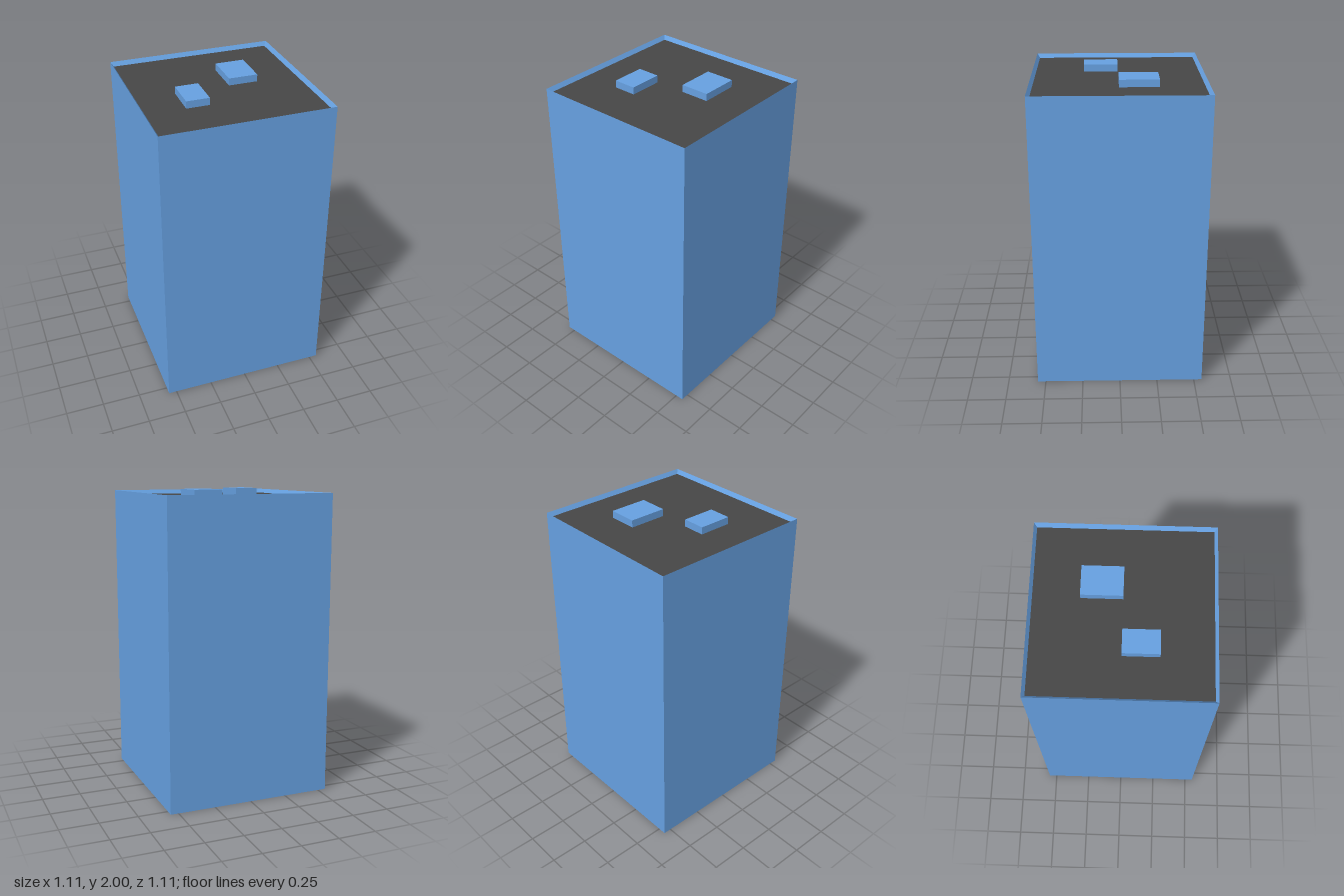
import * as THREE from 'three';

const HALF = 0.553;       // half width of the square tower
const ROOF_HALF = 0.535;  // half width of the sunken roof
const WALL_TOP = 1.98;
const ROOF_Y = 1.953;
const TOP = 2;

export function createModel() {
  const group = new THREE.Group();
  const wallMat = new THREE.MeshStandardMaterial({ color: 0x66a0e0, flatShading: true });
  const roofMat = new THREE.MeshStandardMaterial({ color: 0x464646, flatShading: true });

  const add = (name, geometry, material, x = 0, y = 0, z = 0) => {
    const mesh = new THREE.Mesh(geometry, material);
    mesh.name = name;
    mesh.position.set(x, y, z);
    group.add(mesh);
  };

  // Tower: floor, outer walls and the inward-sloping parapet as a four-sided lathe
  const profile = [[0, 0], [HALF, 0], [HALF, WALL_TOP], [ROOF_HALF, ROOF_Y]]
    .map(([r, y]) => new THREE.Vector2(r * Math.SQRT2, y));
  const tower = new THREE.LatheGeometry(profile, 4, Math.PI / 4).toNonIndexed();
  tower.computeVertexNormals();
  add('towerWalls', tower, wallMat);

  // Sunken flat roof
  const roof = new THREE.PlaneGeometry(ROOF_HALF * 2, ROOF_HALF * 2).rotateX(-Math.PI / 2);
  add('roof', roof, roofMat, 0, ROOF_Y, 0);

  // Rooftop blocks: x range, z range
  const blocks = [
    ['smallRoofBlock', -0.28, -0.13, 0, 0.222],
    ['largeRoofBlock', 0.075, 0.265, -0.252, 0],
  ];
  for (const [name, x0, x1, z0, z1] of blocks) {
    const box = new THREE.BoxGeometry(x1 - x0, TOP - ROOF_Y, z1 - z0);
    add(name, box, wallMat, (x0 + x1) / 2, (TOP + ROOF_Y) / 2, (z0 + z1) / 2);
  }

  return group;
}
